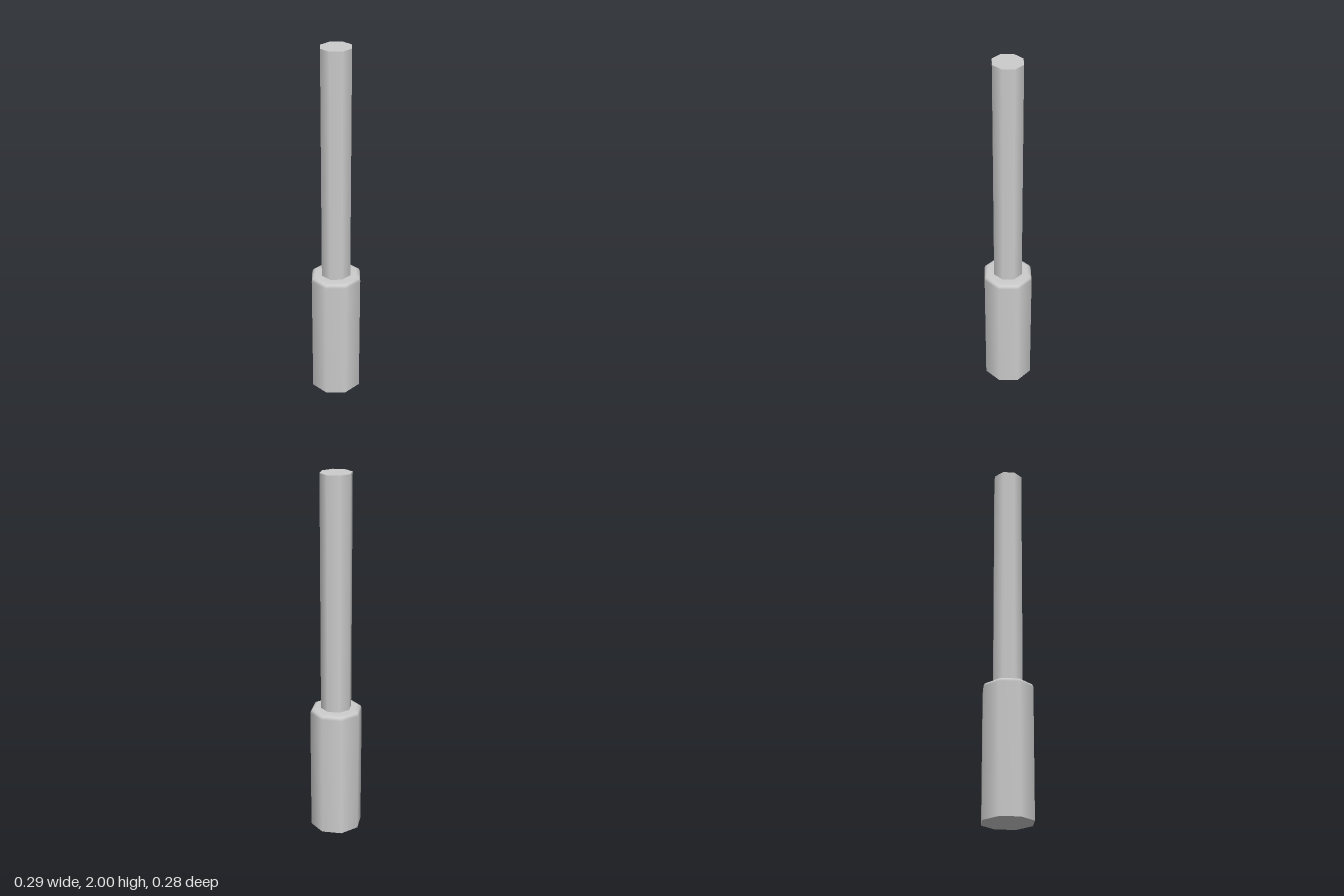
import * as THREE from 'three';

const SIDES = 8;
const DEPTH = 0.966; // the octagon is slightly narrower front to back

export function createModel() {
  const group = new THREE.Group();
  const grey = new THREE.MeshStandardMaterial({ color: 0xcccccc });

  // Thick lower sleeve with a rounded top rim; the repeated point keeps the base edge sharp
  const profile = [
    [0, 0], [0.143, 0], [0.143, 0],
    [0.143, 0.698], [0.136, 0.714], [0.118, 0.722], [0, 0.722],
  ].map(([r, y]) => new THREE.Vector2(r, y));
  const sleeve = new THREE.Mesh(new THREE.LatheGeometry(profile, SIDES), grey);
  sleeve.name = 'sleeve';

  // Slim upper shaft, seated on the sleeve
  const bottom = 0.722;
  const shaft = new THREE.Mesh(new THREE.CylinderGeometry(0.084, 0.084, 2 - bottom, SIDES), grey);
  shaft.position.y = (2 + bottom) / 2;
  shaft.name = 'shaft';

  for (const part of [sleeve, shaft]) {
    part.scale.z = DEPTH;
    group.add(part);
  }
  return group;
}
